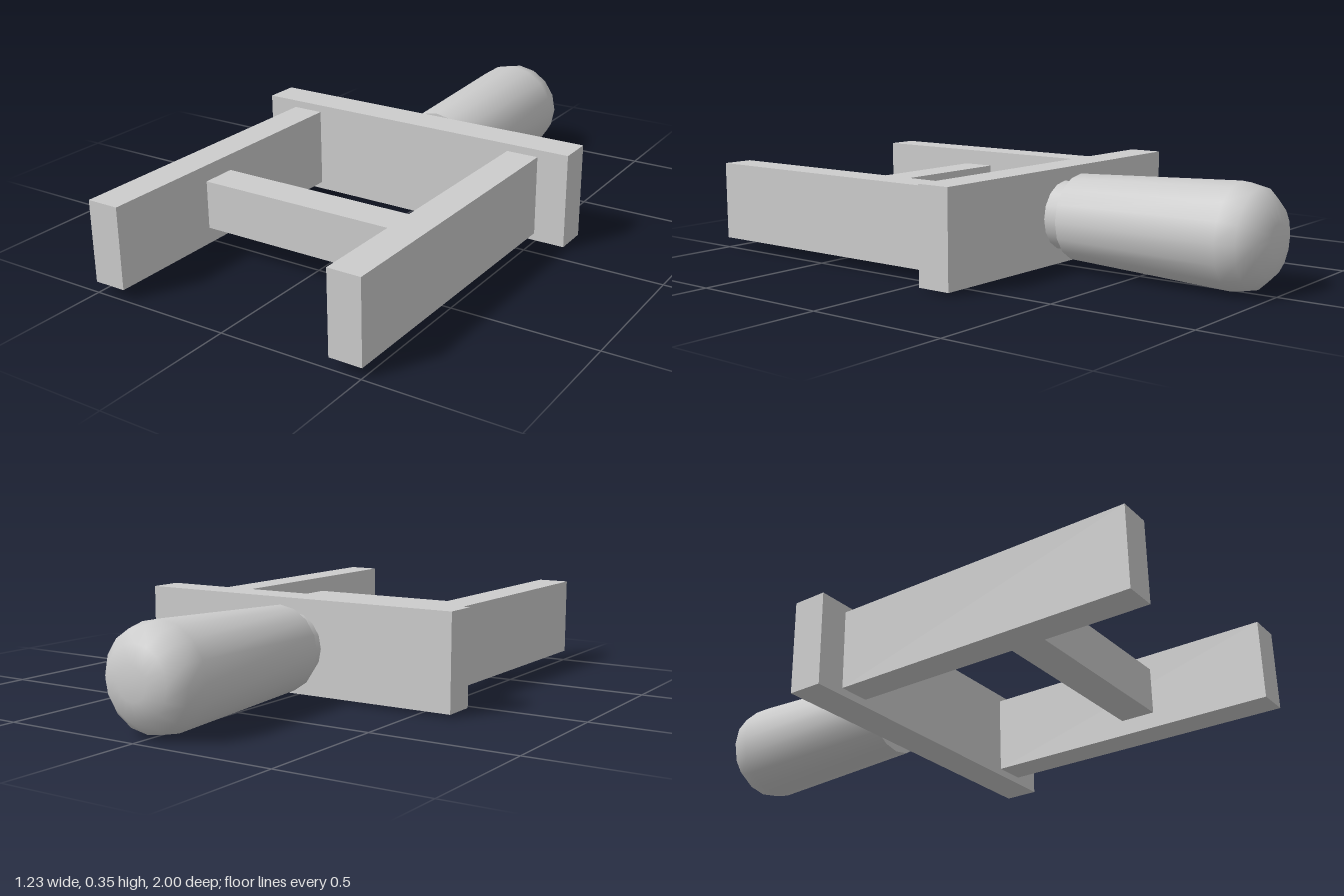
import * as THREE from 'three';
import { toCreasedNormals } from 'three/addons/utils/BufferGeometryUtils.js';

const MID = 0.18; // height of the handle axis

export function createModel() {
  const group = new THREE.Group();
  const grey = new THREE.MeshStandardMaterial({ color: 0xcccccc });
  grey.name = 'grey';

  const add = (name, geometry, x, y, z) => {
    const mesh = new THREE.Mesh(geometry, grey);
    mesh.name = name;
    mesh.position.set(x, y, z);
    group.add(mesh);
  };

  // Frame: back plate, two prongs and the bar between them
  add('backPlate', new THREE.BoxGeometry(1.23, 0.332, 0.122), 0, MID, -0.13);
  for (const [side, name] of [[1, 'leftProng'], [-1, 'rightProng']]) {
    add(name, new THREE.BoxGeometry(0.114, 0.28, 1.069), side * 0.447, MID, 0.4655);
  }
  add('crossBar', new THREE.BoxGeometry(0.78, 0.168, 0.124), 0, MID, 0.522);

  // Neck joining plate and grip
  const neck = new THREE.CylinderGeometry(0.12, 0.12, 0.08, 16).rotateX(-Math.PI / 2);
  add('neck', neck, 0, MID, -0.225);

  // Tapered grip with a domed end, turned to point backwards
  const profile = [
    [0, 0.258], [0.15, 0.258], [0.177, 0.87], [0.163, 0.936],
    [0.118, 0.982], [0.055, 1], [0, 1],
  ].map(([r, y]) => new THREE.Vector2(r, y));
  const grip = new THREE.LatheGeometry(profile, 16).rotateX(-Math.PI / 2);
  add('grip', toCreasedNormals(grip, 0.9), 0, MID, 0);

  return group;
}
